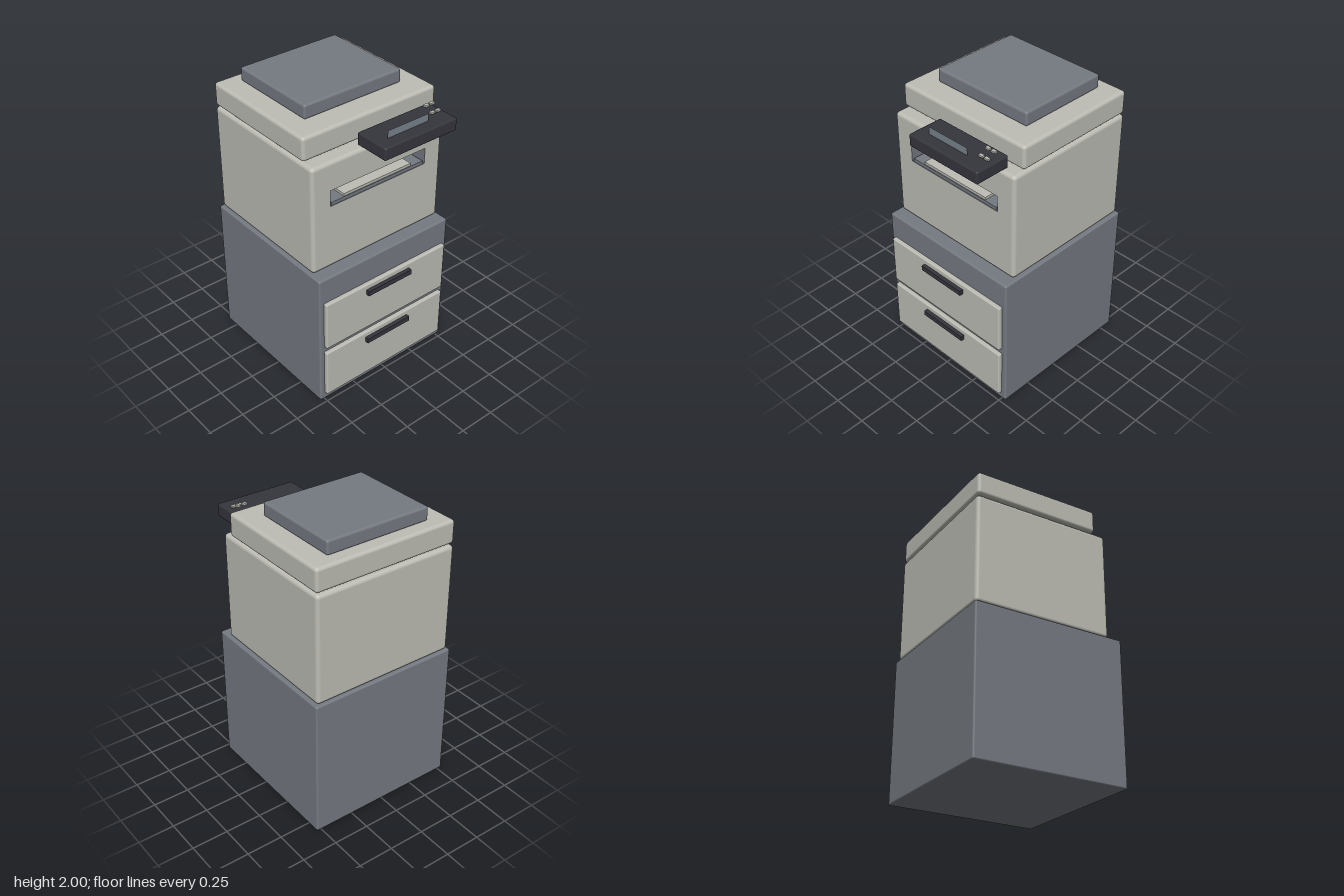
import * as THREE from 'three';
import { RoundedBoxGeometry } from 'three/addons/geometries/RoundedBoxGeometry.js';

const material = (name, color) => {
  const m = new THREE.MeshStandardMaterial({ color });
  m.name = name;
  return m;
};

export function createModel() {
  const light = material('warm light grey', 0xbdbdb5);
  const grey = material('slate grey', 0x757a82);
  const dark = material('charcoal', 0x35353d);
  const glass = material('screen grey', 0x78828c);

  const model = new THREE.Group();
  model.name = 'officeCopier';

  const add = (name, geometry, mat) => {
    const mesh = new THREE.Mesh(geometry, mat);
    mesh.name = name;
    model.add(mesh);
    return mesh;
  };

  // Box given by its extents; r > 0 rounds the edges
  const box = (name, mat, [x0, x1], [y0, y1], [z0, z1], r = 0) => {
    const size = [x1 - x0, y1 - y0, z1 - z0];
    const geometry = r ? new RoundedBoxGeometry(...size, 3, r) : new THREE.BoxGeometry(...size);
    geometry.translate((x0 + x1) / 2, (y0 + y1) / 2, (z0 + z1) / 2);
    return add(name, geometry, mat);
  };

  // Paper cabinet with two drawers
  box('cabinet', grey, [-0.533, 0.533], [0, 0.985], [-0.597, 0.472], 0.012);
  for (const y of [0.055, 0.45]) {
    box('drawer', light, [-0.5, 0.5], [y, y + 0.355], [0.465, 0.5], 0.01);
    box('drawerHandle', dark, [-0.18, 0.18], [y + 0.283, y + 0.318], [0.495, 0.527]);
  }

  // Main body: rounded box whose flat front is replaced by a face with a slot
  const w = 0.515, y0 = 0.986, y1 = 1.736, zFront = 0.39, r = 0.025;
  const slot = { x: 0.378, y0: 1.43, y1: 1.542, back: 0.25 };
  const body = box('body', light, [-w, w], [y0, y1], [-0.585, zFront], r);
  const keep = { position: [], normal: [] };
  const pos = body.geometry.attributes.position;
  const nor = body.geometry.attributes.normal;
  for (let i = 0; i < pos.count; i += 3) {
    const corners = [i, i + 1, i + 2];
    if (corners.every((k) => pos.getZ(k) > zFront - 1e-4)) continue;
    for (const k of corners) {
      keep.position.push(pos.getX(k), pos.getY(k), pos.getZ(k));
      keep.normal.push(nor.getX(k), nor.getY(k), nor.getZ(k));
    }
  }
  body.geometry = new THREE.BufferGeometry();
  for (const key of ['position', 'normal']) {
    body.geometry.setAttribute(key, new THREE.Float32BufferAttribute(keep[key], 3));
  }
  const rectangle = (path, a, b, c, d) =>
    path.moveTo(a, c).lineTo(b, c).lineTo(b, d).lineTo(a, d).closePath();
  const face = new THREE.Shape();
  rectangle(face, -w + r, w - r, y0 + r, y1 - r);
  const hole = new THREE.Path();
  rectangle(hole, -slot.x, slot.x, slot.y0, slot.y1);
  face.holes.push(hole);
  add('bodyFront', new THREE.ShapeGeometry(face).translate(0, 0, zFront), light);

  // Output slot: lining, floor and paper tray
  const t = 0.01, depth = [slot.back, zFront - 0.001];
  box('slotBack', grey, [-slot.x, slot.x], [slot.y0, slot.y1], [slot.back - t, slot.back]);
  box('slotCeiling', grey, [-slot.x, slot.x], [slot.y1, slot.y1 + t], depth);
  box('slotBottom', grey, [-slot.x, slot.x], [slot.y0 - t, slot.y0], depth);
  for (const s of [-1, 1]) {
    const x = s * (slot.x + t / 2);
    box('slotSide', grey, [x - t / 2, x + t / 2], [slot.y0, slot.y1], depth);
  }
  box('slotFloor', grey, [-0.365, 0.365], [slot.y0, 1.453], [slot.back, 0.385]);
  box('paperTray', light, [-0.268, 0.268], [1.453, 1.471], [slot.back, 0.38]);

  // Scanner and lid
  box('scanner', light, [-0.515, 0.515], [1.746, 1.906], [-0.58, 0.312], 0.022);
  box('scannerLid', grey, [-0.374, 0.374], [1.904, 2], [-0.491, 0.149], 0.015);

  // Control panel with upright screen and four raised buttons
  box('controlPanel', dark, [-0.143, 0.427], [1.746, 1.832], [0.348, 0.597], 0.012);
  add('screen', new THREE.PlaneGeometry(0.32, 0.055).translate(0.105, 1.855, 0.515), glass);
  for (const x of [0.337, 0.382]) {
    for (const [y, z] of [[1.846, 0.474], [1.871, 0.42]]) {
      box('button', light, [x - 0.016, x + 0.016], [y - 0.006, y + 0.006], [z - 0.011, z + 0.011]);
    }
  }
  return model;
}
